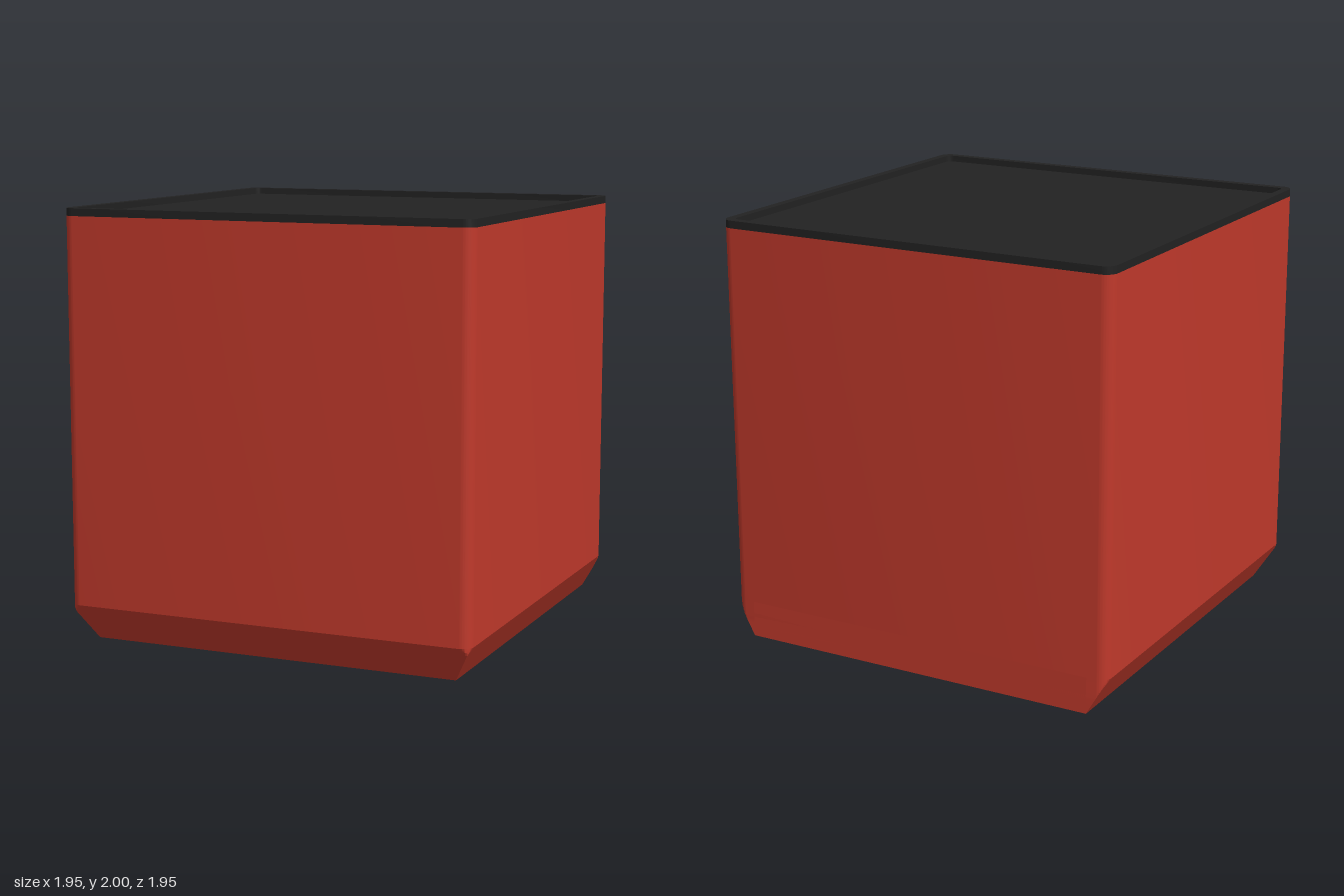
import * as THREE from 'three';
import { toCreasedNormals } from 'three/addons/utils/BufferGeometryUtils.js';

const HALF = 0.977, RADIUS = 0.055, WALL = 0.04;
const BASE = 0.01, CHAMFER_TOP = 0.18, BODY_TOP = 1.965;

// Plan shapes use (x, -z) coordinates and are extruded upwards.
function roundedRect(x0, y0, x1, y1, r, Type = THREE.Shape) {
  const s = new Type();
  s.moveTo(x0 + r, y0);
  s.lineTo(x1 - r, y0);
  s.absarc(x1 - r, y0 + r, r, -Math.PI / 2, 0);
  s.lineTo(x1, y1 - r);
  s.absarc(x1 - r, y1 - r, r, 0, Math.PI / 2);
  s.lineTo(x0 + r, y1);
  s.absarc(x0 + r, y1 - r, r, Math.PI / 2, Math.PI);
  s.lineTo(x0, y0 + r);
  s.absarc(x0 + r, y0 + r, r, Math.PI, Math.PI * 1.5);
  return s;
}
const square = (h, r, Type) => roundedRect(-h, -h, h, h, r, Type);
const polygon = (pts) => new THREE.Shape(pts.map(([x, z]) => new THREE.Vector2(x, -z)));

function slab(shape, y0, y1) {
  const g = new THREE.ExtrudeGeometry(shape, { depth: y1 - y0, bevelEnabled: false, curveSegments: 8 });
  g.rotateX(-Math.PI / 2).translate(0, y0, 0);
  return toCreasedNormals(g, 0.6);
}

// Rounded outline clipped by sloping planes on the front, left and right.
function chamferBand() {
  const outline = square(HALF, RADIUS).getPoints(8);
  const n = outline.length, steps = 10, pos = [], idx = [];
  for (let j = 0; j <= steps; j++) {
    const t = j / steps, a = THREE.MathUtils.lerp(0.88, HALF, t);
    const y = THREE.MathUtils.lerp(BASE, CHAMFER_TOP, t);
    for (const p of outline) {
      pos.push(THREE.MathUtils.clamp(p.x, -a, a), y, Math.min(-p.y, a));
    }
  }
  for (let j = 0; j < steps; j++) {
    for (let i = 0; i < n; i++) {
      const a = j * n + i, b = j * n + (i + 1) % n;
      idx.push(a, b, b + n, a, b + n, a + n);
    }
  }
  const g = new THREE.BufferGeometry();
  g.setAttribute('position', new THREE.Float32BufferAttribute(pos, 3));
  g.setIndex(idx);
  return toCreasedNormals(g, 0.4);
}

export function createModel() {
  const model = new THREE.Group();
  const red = new THREE.MeshStandardMaterial({ color: 0xc0392b });
  const black = new THREE.MeshStandardMaterial({ color: 0x222222 });
  const add = (name, geometry, material, parent = model) => {
    const mesh = new THREE.Mesh(geometry, material);
    mesh.name = name;
    parent.add(mesh);
  };

  // Hollow body walls
  const walls = square(HALF, RADIUS);
  walls.holes.push(square(HALF - WALL, 0.03, THREE.Path));
  add('bodyWalls', slab(walls, CHAMFER_TOP, BODY_TOP), red);
  add('chamferedBase', chamferBand(), red);

  // Base panel and inner floor, both pierced by the slot
  const slot = () => roundedRect(-0.6, -0.79, 0.6, -0.58, 0.08, THREE.Path);
  const panel = polygon([[-0.88, 0.88], [0.88, 0.88], [0.88, -HALF], [-0.88, -HALF]]);
  panel.holes.push(slot());
  add('slottedPanel', slab(panel, BASE, CHAMFER_TOP), red);
  const floor = square(HALF - WALL, 0.03);
  floor.holes.push(slot());
  add('innerFloor', slab(floor, CHAMFER_TOP, CHAMFER_TOP + 0.01), red);

  // Raised envelope relief: triangular flap and body, parted by a thin groove
  const envelope = new THREE.Group();
  envelope.name = 'envelopeRelief';
  model.add(envelope);
  add('envelopeFlap', slab(polygon([[-0.34, -0.3], [0.48, -0.3], [0.07, -0.56]]), 0, BASE), red, envelope);
  add('envelopeBody', slab(polygon([
    [-0.39, -0.3], [-0.37, -0.3], [0.07, -0.58], [0.51, -0.3], [0.54, -0.3], [0.54, -0.72], [-0.39, -0.72],
  ]), 0, BASE), red, envelope);

  // Lid: raised rim around a recessed panel
  const rim = square(HALF, RADIUS);
  rim.holes.push(square(HALF - WALL, 0.03, THREE.Path));
  add('lidRim', slab(rim, BODY_TOP, 2), black);
  add('lidPanel', slab(square(HALF - WALL, 0.03), BODY_TOP - 0.035, BODY_TOP + 0.005), black);

  return model;
}
